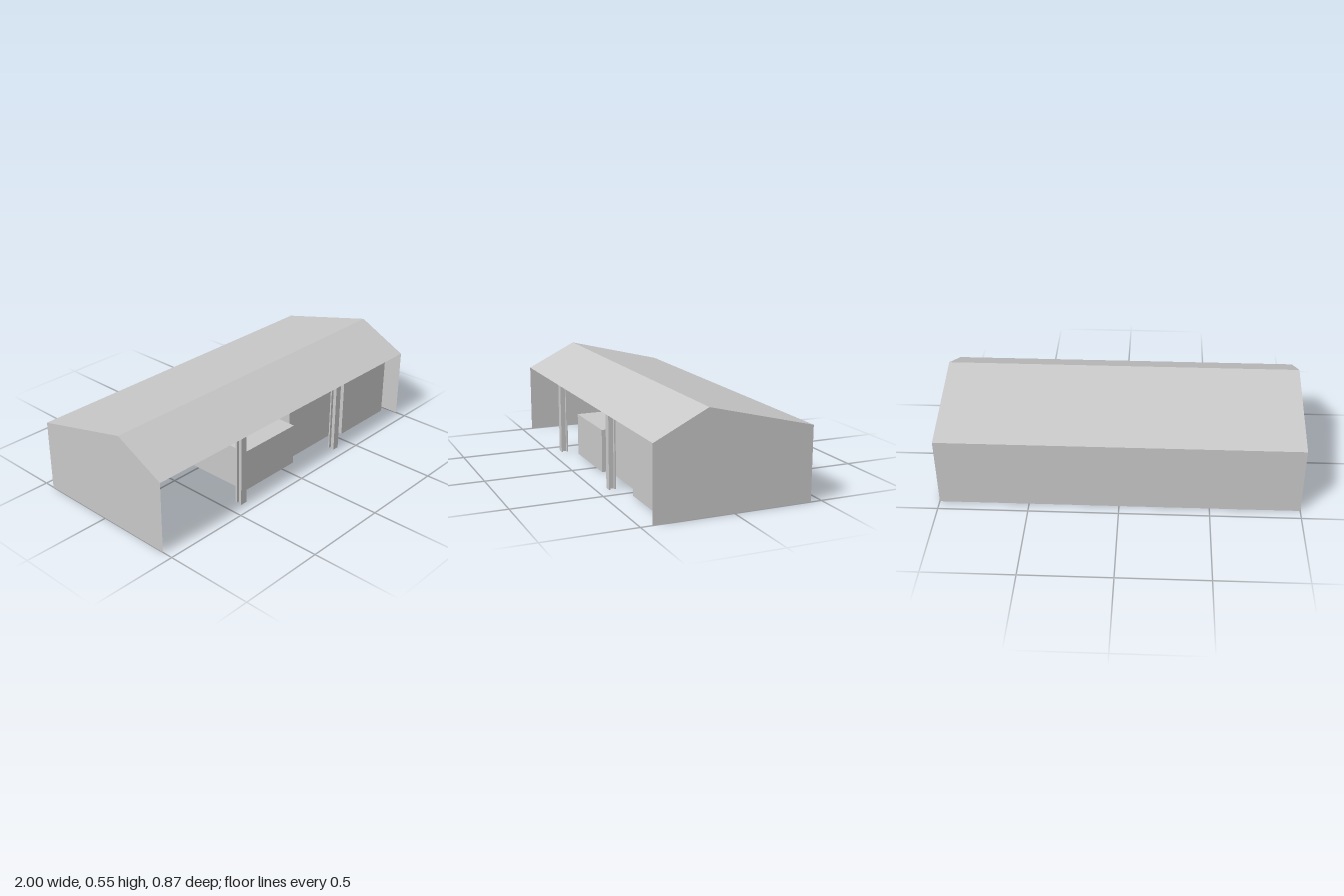
import * as THREE from 'three';

const grey = new THREE.MeshStandardMaterial({ color: 0xc8c8c8, side: THREE.DoubleSide });
grey.name = 'pale grey';

const EAVE = 0.405, RIDGE = 0.55, RIDGE_Z = 0.145, HALF_Z = 0.437;

// Flat rectangle, centred on (x, y, z), turned by rx / ry
function sheet(name, w, h, x, y, z, rx = 0, ry = 0) {
  const mesh = new THREE.Mesh(new THREE.PlaneGeometry(w, h), grey);
  mesh.name = name;
  mesh.position.set(x, y, z);
  mesh.rotation.set(rx, ry, 0);
  return mesh;
}

// Sloping roof sheet from the ridge down to an eave
function roofSlope(name, eaveZ) {
  const dz = eaveZ - RIDGE_Z, drop = RIDGE - EAVE;
  const tilt = Math.sign(dz) * Math.atan2(drop, Math.abs(dz)) - Math.PI / 2;
  return sheet(name, 2, Math.hypot(dz, drop), 0, (RIDGE + EAVE) / 2, (RIDGE_Z + eaveZ) / 2, tilt);
}

// End wall with its off-centre gable
function gable(name, x) {
  const shape = new THREE.Shape([
    [HALF_Z, 0], [-HALF_Z, 0], [-HALF_Z, EAVE], [-RIDGE_Z, RIDGE], [HALF_Z, EAVE],
  ].map(([a, b]) => new THREE.Vector2(a, b)));
  const mesh = new THREE.Mesh(new THREE.ShapeGeometry(shape), grey);
  mesh.name = name;
  mesh.rotation.y = Math.PI / 2;
  mesh.position.x = x;
  return mesh;
}

// Thin-walled stall, open at the back and underneath
function stall(name, x0, x1, z0, z1, h) {
  const g = new THREE.Group();
  g.name = name;
  const w = x1 - x0, d = z1 - z0, cx = (x0 + x1) / 2, cz = (z0 + z1) / 2;
  g.add(
    sheet('frontPanel', w, h, cx, h / 2, z1),
    sheet('topPanel', w, d, cx, h, cz, -Math.PI / 2),
    sheet('leftPanel', d, h, x1, h / 2, cz, 0, Math.PI / 2),
    sheet('rightPanel', d, h, x0, h / 2, cz, 0, -Math.PI / 2),
  );
  return g;
}

// H-section post carrying the front eave
function post(x) {
  const g = new THREE.Group();
  g.name = 'frontPost';
  const h = 0.402, size = 0.04, t = 0.008;
  const parts = [
    ['frontFlange', size, t, (size - t) / 2],
    ['backFlange', size, t, -(size - t) / 2],
    ['web', t, size - 2 * t, 0],
  ];
  for (const [name, w, d, z] of parts) {
    const mesh = new THREE.Mesh(new THREE.BoxGeometry(w, h, d), grey);
    mesh.name = name;
    mesh.position.set(0, h / 2, z);
    g.add(mesh);
  }
  g.position.set(x, 0, 0.414);
  return g;
}

export function createModel() {
  const model = new THREE.Group();
  model.name = 'openFrontShed';

  // Shell
  model.add(
    roofSlope('frontRoof', HALF_Z),
    roofSlope('backRoof', -HALF_Z),
    sheet('backWall', 2, EAVE, 0, EAVE / 2, -HALF_Z, 0, Math.PI),
    gable('leftEndWall', 1),
    gable('rightEndWall', -1),
  );

  // Posts along the open front
  for (const x of [-0.405, 0.39]) model.add(post(x));

  // Low and tall stalls inside
  model.add(
    stall('lowStall', -0.31, 0.095, -0.05, 0.355, 0.243),
    stall('middleStall', 0.11, 0.517, -0.08, 0.31, 0.404),
    stall('endStall', 0.55, 0.957, -0.06, 0.354, 0.404),
  );
  return model;
}
